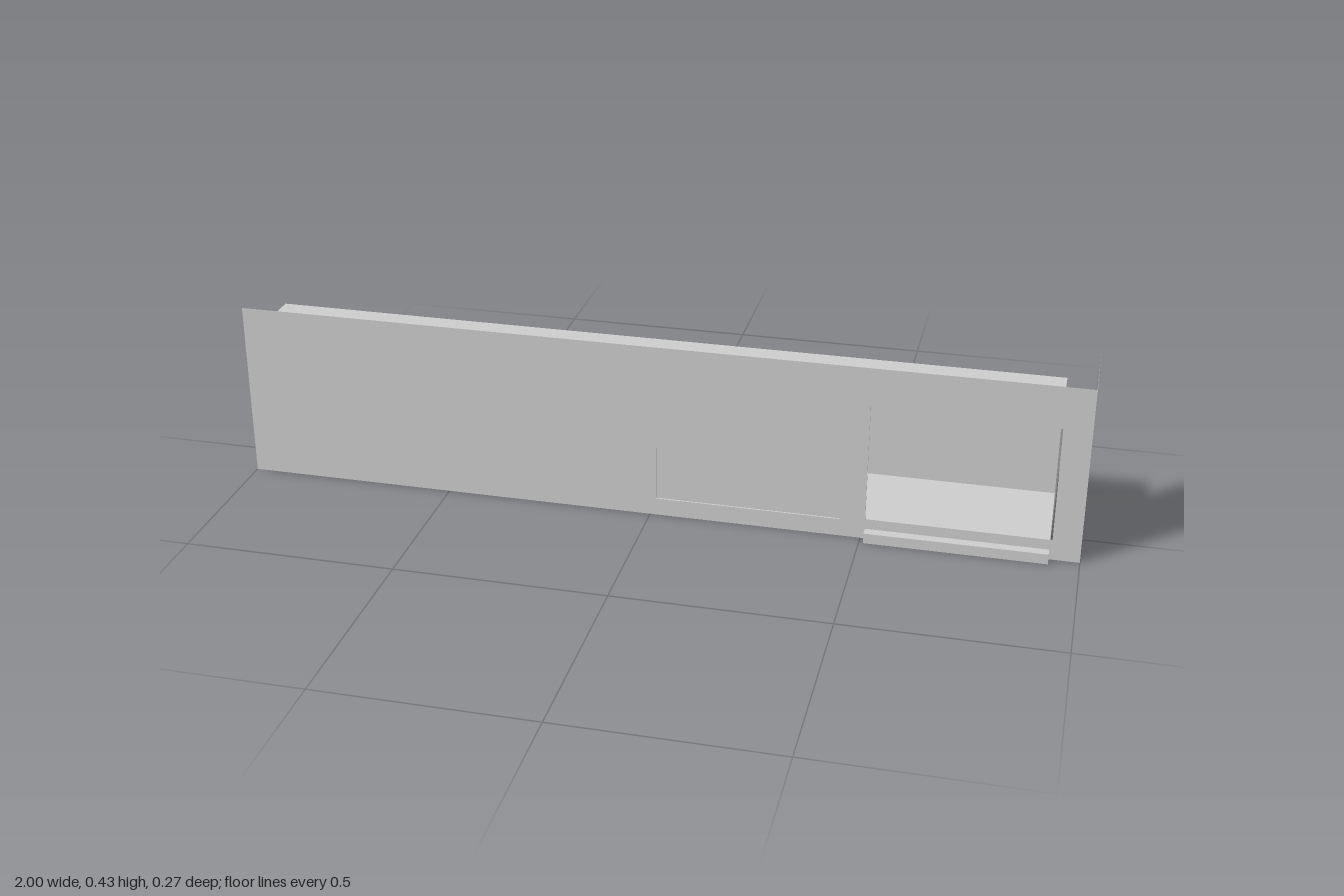
import * as THREE from 'three';

const grey = new THREE.MeshStandardMaterial({ color: 0xcccccc, side: THREE.DoubleSide });
grey.name = 'grey';

export function createModel() {
  const model = new THREE.Group();
  const Z_FRONT = 0.11, Z_BACK = -0.132;
  const FLOOR = 0.045, ROOF = 0.345, END = 0.93;

  const add = (name, geometry) => {
    const mesh = new THREE.Mesh(geometry, grey);
    mesh.name = name;
    model.add(mesh);
  };

  // Thin sheet between two corners that share one coordinate
  const sheet = (name, [x0, y0, z0], [x1, y1, z1]) => {
    const dx = x1 - x0, dy = y1 - y0, dz = z1 - z0;
    let g;
    if (dz === 0) g = new THREE.PlaneGeometry(dx, dy);
    else if (dy === 0) g = new THREE.PlaneGeometry(dx, dz).rotateX(-Math.PI / 2);
    else g = new THREE.PlaneGeometry(dz, dy).rotateY(Math.PI / 2);
    g.translate((x0 + x1) / 2, (y0 + y1) / 2, (z0 + z1) / 2);
    add(name, g);
  };

  const rect = (P, x0, y0, x1, y1) =>
    new P([[x0, y0], [x1, y0], [x1, y1], [x0, y1]].map(p => new THREE.Vector2(...p)));

  // Front panel with the window opening
  const front = rect(THREE.Shape, -1, 0, 1, 0.43);
  front.holes.push(rect(THREE.Path, 0.51, 0.05, 0.935, 0.328));
  add('frontPanel', new THREE.ShapeGeometry(front).translate(0, 0, Z_FRONT));

  // Full-height return at the right end
  sheet('sidePanel', [1, 0, Z_BACK], [1, 0.43, Z_FRONT]);

  // Channel behind the panel, open at one end
  sheet('channelFloor', [-1, FLOOR, Z_BACK], [END, FLOOR, Z_FRONT]);
  sheet('channelRoof', [-1, ROOF, Z_BACK], [END, ROOF, Z_FRONT]);
  sheet('channelBack', [-1, FLOOR, Z_BACK], [END, ROOF, Z_BACK]);
  sheet('channelEnd', [END, FLOOR, Z_BACK], [END, ROOF, Z_FRONT]);

  // Sill below the window, open underneath
  const zSill = 0.134, ySill = 0.025;
  sheet('sillTop', [0.51, ySill, Z_FRONT], [END, ySill, zSill]);
  sheet('sillFront', [0.51, 0, zSill], [END, ySill, zSill]);
  for (const x of [0.51, END]) sheet('sillEnd', [x, 0, Z_FRONT], [x, ySill, zSill]);

  // Fine ridges on the front face
  const zRidge = Z_FRONT + 0.004;
  for (const x of [0.015, 0.51]) sheet('uprightRidge', [x, FLOOR, Z_FRONT], [x, ROOF, zRidge]);
  sheet('lowerRidge', [0.015, FLOOR, Z_FRONT], [0.45, FLOOR, zRidge]);

  return model;
}
